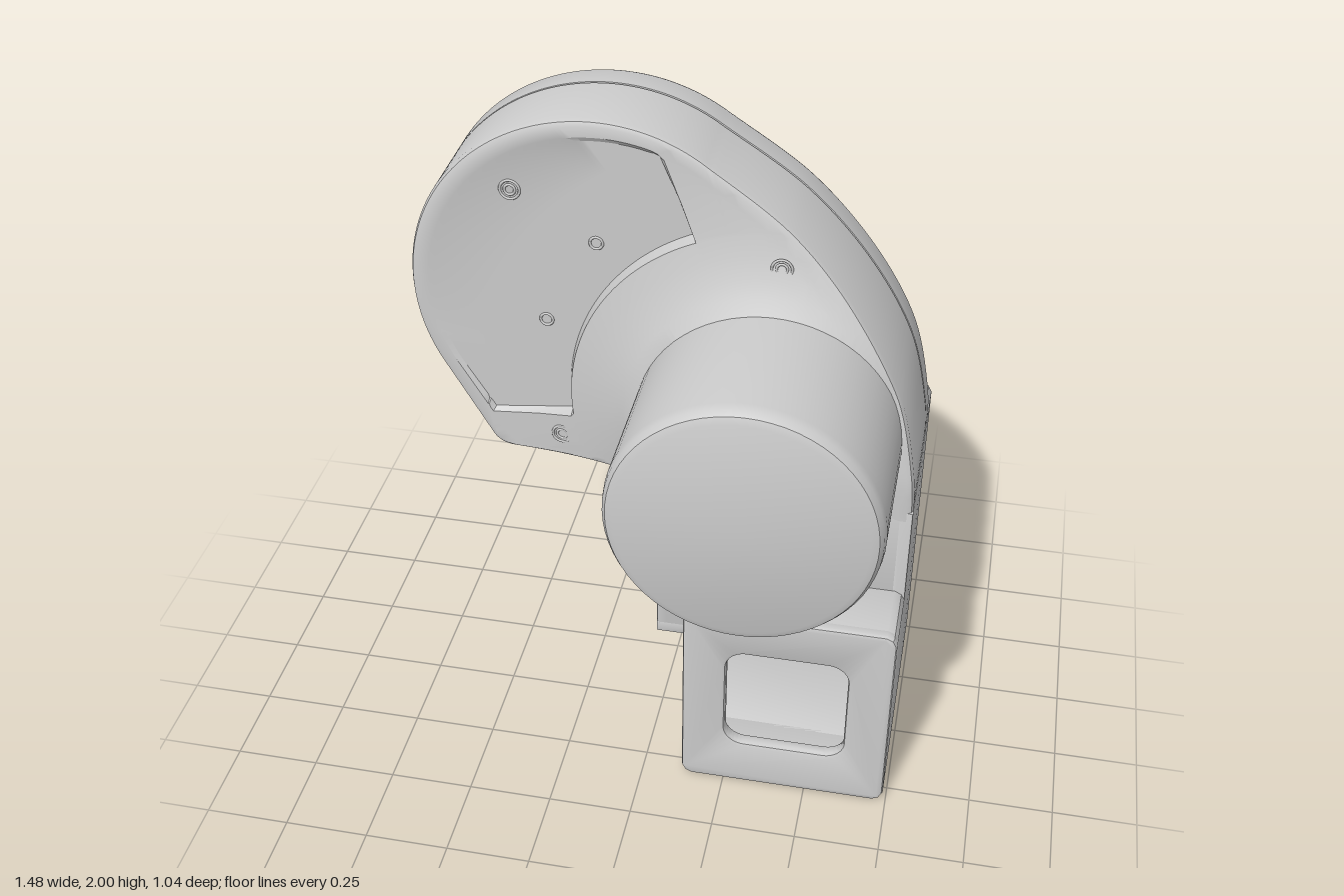
import * as THREE from 'three';
import { toCreasedNormals } from 'three/addons/utils/BufferGeometryUtils.js';

const material = new THREE.MeshStandardMaterial({ color: 0xcccccc, side: THREE.DoubleSide });
const MOTOR = new THREE.Vector2(0.31, 1.145);   // axis of the front drum
const COVER = new THREE.Vector2(-0.2, 1.455);   // axis of the large rounded end
const smooth = THREE.MathUtils.smoothstep;

function add(group, name, geometry, x = 0, y = 0, z = 0) {
  const mesh = new THREE.Mesh(geometry, material);
  mesh.name = name;
  mesh.position.set(x, y, z);
  group.add(mesh);
  return mesh;
}

// Flat shape extruded between two z planes, with softened edges inside its outline
function slab(group, name, shape, z0, z1, bevel = 0.012) {
  const geometry = new THREE.ExtrudeGeometry(shape, {
    depth: z1 - z0 - 2 * bevel, bevelEnabled: true, bevelThickness: bevel,
    bevelSize: bevel, bevelOffset: -bevel, bevelSegments: 2, curveSegments: 8,
  });
  return add(group, name, toCreasedNormals(geometry, 0.5), 0, 0, z0 + bevel);
}

const polygon = (points) => new THREE.Shape(points.map(([x, y]) => new THREE.Vector2(x, y)));

// Rounded square window outline
function windowPath() {
  const [x0, x1, y0, y1, r] = [0.25, 0.61, 0.16, 0.52, 0.06];
  const p = new THREE.Path();
  p.absarc(x1 - r, y1 - r, r, 0, Math.PI / 2);
  p.absarc(x0 + r, y1 - r, r, Math.PI / 2, Math.PI);
  p.absarc(x0 + r, y0 + r, r, Math.PI, Math.PI * 1.5);
  p.absarc(x1 - r, y0 + r, r, Math.PI * 1.5, Math.PI * 2);
  p.closePath();
  return p;
}

// Disc or drum turned about the z axis
function drum(group, name, centre, profile) {
  const lathe = new THREE.LatheGeometry(profile.map(([r, z]) => new THREE.Vector2(r, z)), 64);
  lathe.rotateX(Math.PI / 2);
  return add(group, name, toCreasedNormals(lathe, 0.5), centre.x, centre.y, 0);
}

// Outline of the gear housing, counter-clockwise
function housingOutline() {
  const s = new THREE.Shape();
  s.moveTo(0.74, 0.91);
  s.splineThru([[0.73, 1.07], [0.67, 1.31], [0.535, 1.54], [0.35, 1.74], [0.12, 1.897]]
    .map(([x, y]) => new THREE.Vector2(x, y)));
  s.absarc(COVER.x, COVER.y, 0.545, 0.94, 3.64);
  s.lineTo(-0.54, 0.955);
  s.quadraticCurveTo(-0.52, 0.91, -0.47, 0.91);
  s.lineTo(0.74, 0.91);
  return s.getSpacedPoints(280).slice(0, -1);
}

// Height of the front face: a flare around the drum, with a flat kidney-shaped recess
function frontZ(x, y, rim = Infinity) {
  const d = Math.hypot(x - MOTOR.x, y - MOTOR.y);
  let angle = Math.atan2(y - MOTOR.y, x - MOTOR.x);
  if (angle < 0) angle += Math.PI * 2;
  if (d > 0.59 && d < rim - 0.06 && angle > 1.97 && angle < 3.27) return -0.058;
  const flare = -0.055 + 0.115 * Math.exp(-Math.max(0, d - 0.38) / 0.18);
  const lift = (1 - smooth(y, 1.02, 1.35)) * smooth(x, -0.1, 0.04);
  return flare + (0.1 - flare) * lift;
}

// Solid housing lofted in rings from the front centre, over the rim, to the back centre
function housingGeometry() {
  const outline = housingOutline();
  const steps = [0, 0.2, 0.38, 0.42, 0.47, 0.53, 0.585, 0.595, 0.7, 0.85];
  const columns = outline.map((p) => {
    const dir = p.clone().sub(MOTOR);
    const rim = dir.length();
    dir.divideScalar(rim);
    const at = (d) => [MOTOR.x + dir.x * d, MOTOR.y + dir.y * d];
    const column = [...steps, rim - 0.07, rim - 0.055, rim - 0.02].map((d) => {
      const limit = Math.max(0, Math.min(d, rim - 0.02));
      const [x, y] = at(limit);
      return [x, y, frontZ(x, y, rim)];
    });
    column.sort((a, b) => Math.hypot(a[0] - MOTOR.x, a[1] - MOTOR.y) - Math.hypot(b[0] - MOTOR.x, b[1] - MOTOR.y));
    const top = column[column.length - 1][2];
    const edge = [[0.006, top - 0.006], [0, top - 0.02], [0, -0.288], [0.006, -0.289], [0.006, -0.295],
      [0, -0.296], [0, -0.375], [0.005, -0.385], [0.015, -0.39], [rim, -0.39]];
    edge.forEach(([inset, z]) => column.push([...at(rim - inset), z]));
    return column;
  });
  const rows = columns[0].length;
  const index = [];
  for (let j = 0; j < columns.length; j++) {
    const a = j * rows, b = ((j + 1) % columns.length) * rows;
    for (let i = 0; i < rows - 1; i++) {
      index.push(a + i, a + i + 1, b + i + 1, a + i, b + i + 1, b + i);
    }
  }
  const geometry = new THREE.BufferGeometry();
  geometry.setAttribute('position', new THREE.Float32BufferAttribute(columns.flat(2), 3));
  geometry.setIndex(index);
  return toCreasedNormals(geometry, 0.5);
}

export function createModel() {
  const model = new THREE.Group();
  model.name = 'gearMotorHousing';

  // Gear housing, front motor drum and raised rear cover
  add(model, 'gearHousing', housingGeometry());
  drum(model, 'motorDrum', MOTOR, [[0, 0.52], [0.345, 0.52], [0.365, 0.512], [0.376, 0.495], [0.38, 0.47], [0.38, -0.02]]);
  drum(model, 'rearCover', COVER, [[0.445, -0.38], [0.445, -0.415], [0.438, -0.43], [0.42, -0.437], [0, -0.437]]);

  // Hollow foot: two channel-shaped wall sections meeting at the seam, open towards -x above the ledge
  const channel = polygon([[0, 0.38], [0.09, 0.38], [0.112, 0.37], [0.12, 0.345], [0.12, 0.03], [0.13, 0.01],
    [0.15, 0], [0.71, 0], [0.73, 0.01], [0.74, 0.03], [0.74, 0.95], [0.7, 0.95], [0.7, 0.04], [0.16, 0.04],
    [0.16, 0.42], [0, 0.42]]);
  slab(model, 'rearChannel', channel, -0.51, -0.29, 0.004);
  slab(model, 'frontChannel', channel, -0.29, 0.1, 0.004);

  // Rear panel with window, its top ledge and side lip
  const rear = polygon([[0.15, 0], [0.71, 0], [0.73, 0.01], [0.74, 0.03], [0.74, 0.96], [0.73, 0.98], [0.71, 0.99],
    [0.03, 0.99], [0.01, 0.98], [0, 0.96], [0, 0.41], [0.01, 0.39], [0.03, 0.38], [0.09, 0.38], [0.112, 0.37],
    [0.12, 0.345], [0.12, 0.03], [0.13, 0.01]]);
  rear.holes.push(windowPath());
  slab(model, 'rearPanel', rear, -0.52, -0.475);
  slab(model, 'rearTopLedge', polygon([[0, 0.9], [0.74, 0.9], [0.74, 0.96], [0.73, 0.98], [0.71, 0.99],
    [0.03, 0.99], [0.01, 0.98], [0, 0.96]]), -0.51, -0.385, 0.003);
  slab(model, 'rearSideLip', polygon([[0, 0.4], [0.04, 0.4], [0.04, 0.95], [0, 0.95]]), -0.51, -0.41, 0.003);

  // Front wall between the foot and the housing
  slab(model, 'middleWall', polygon([[0.03, 0.38], [0.16, 0.38], [0.16, 0.62], [0.74, 0.62], [0.74, 0.95],
    [-0.06, 0.95], [-0.05, 0.91], [-0.015, 0.9], [0, 0.87], [0, 0.41], [0.01, 0.39]]), 0.05, 0.1, 0.008);

  // Projecting front box: walls, then windowed face
  const box = () => polygon([[0.15, 0], [0.71, 0], [0.73, 0.01], [0.74, 0.03], [0.74, 0.63], [0.73, 0.65],
    [0.71, 0.66], [0.15, 0.66], [0.13, 0.65], [0.12, 0.63], [0.12, 0.03], [0.13, 0.01]]);
  const walls = box();
  walls.holes.push(new THREE.Path(polygon([[0.16, 0.04], [0.16, 0.62], [0.7, 0.62], [0.7, 0.04]]).getPoints()));
  slab(model, 'frontBoxWalls', walls, 0.085, 0.3, 0.003);
  const face = box();
  face.holes.push(windowPath());
  slab(model, 'frontPanel', face, 0.265, 0.31);

  // Screw seats on both faces, locating pins on the front, screws underneath
  const ring = (name, r, x, y, z) => add(model, name, new THREE.TorusGeometry(r, 0.004, 6, 24), x, y, z);
  for (const [x, y] of [[-0.44, 1.77], [0.325, 1.645], [-0.31, 0.99]]) {
    const z = frontZ(x, y);
    ring('screwSeat', 0.028, x, y, z);
    ring('screwHole', 0.015, x, y, z);
    ring('rearScrewHole', 0.022, x, y, -0.39);
  }
  for (const [x, y] of [[-0.2, 1.63], [-0.35, 1.365]]) ring('locatingPin', 0.018, x, y, -0.058);
  for (const z of [0.2, -0.4]) ring('bottomScrewHole', 0.016, 0.43, 0.004, z).rotation.x = Math.PI / 2;

  return model;
}
